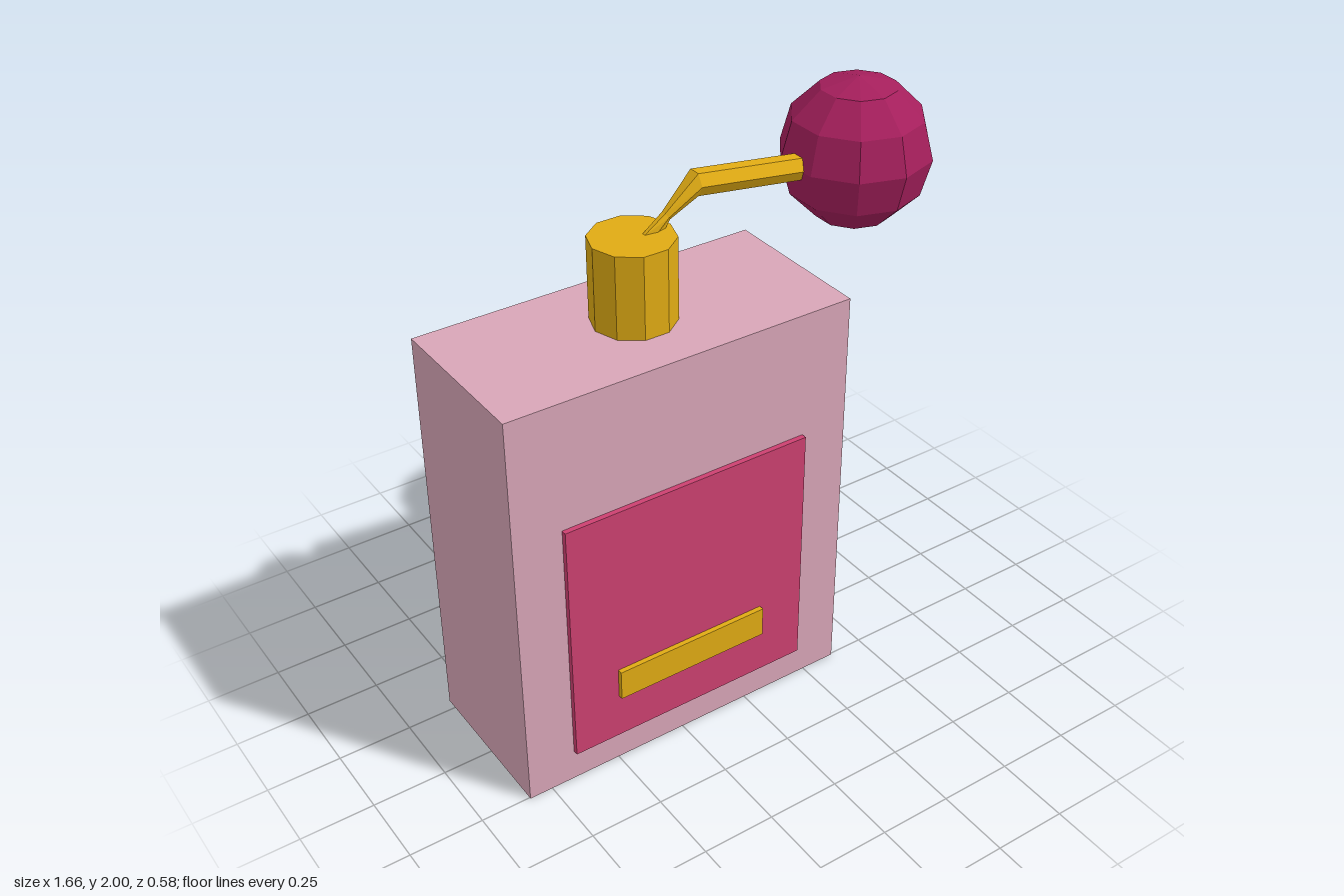
import * as THREE from 'three';

const mat = (color, side = THREE.FrontSide) =>
  new THREE.MeshStandardMaterial({ color, flatShading: true, side });

export function createModel() {
  const model = new THREE.Group();
  const gold = mat(0xe0ab14);
  const add = (name, geometry, material, x, y, z) => {
    const mesh = new THREE.Mesh(geometry, material);
    mesh.name = name;
    mesh.position.set(x, y, z);
    model.add(mesh);
    return mesh;
  };

  // Bottle with a raised label and a gold bar on its front
  add('bottle', new THREE.BoxGeometry(1.204, 1.425, 0.545), mat(0xd8a5b7), -0.228, 0.7125, -0.0175);
  add('label', new THREE.BoxGeometry(0.873, 0.876, 0.04), mat(0xcc4070), -0.228, 0.552, 0.253);
  add('labelBar', new THREE.BoxGeometry(0.547, 0.107, 0.04), gold, -0.2285, 0.332, 0.27);

  // Ten-sided neck
  add('neck', new THREE.CylinderGeometry(0.135, 0.135, 0.3, 10, 1, false, Math.PI / 2), gold,
    -0.23, 1.55, -0.02);

  // Faceted squeeze bulb
  const bulb = add('bulb', new THREE.SphereGeometry(0.245, 10, 6), mat(0xa51f5c), 0.594, 1.755, -0.02);
  bulb.rotation.y = Math.PI / 2;

  // Bent six-sided stem, pinched where it leaves the neck
  // [x, y, z, half height, half depth, lean of the section]
  const rings = [
    [-0.175, 1.68, -0.008, 0.03, 0.012, 0.9],
    [-0.115, 1.735, -0.014, 0.014, 0.017, 0.65],
    [-0.01, 1.81, -0.02, 0.036, 0.041, 0],
    [0.42, 1.75, -0.02, 0.036, 0.041, -0.14],
  ];
  const sides = 6, positions = [], index = [];
  for (const [x, y, z, h, d, lean] of rings) {
    for (let i = 0; i < sides; i++) {
      const a = (i / sides) * Math.PI * 2;
      const up = Math.sin(a) * h / Math.sin(Math.PI / 3);
      positions.push(x - up * Math.sin(lean), y + up * Math.cos(lean), z + Math.cos(a) * d);
    }
  }
  for (let r = 0; r < rings.length - 1; r++) {
    for (let i = 0; i < sides; i++) {
      const a = r * sides + i, b = r * sides + (i + 1) % sides;
      index.push(a, a + sides, b, b, a + sides, b + sides);
    }
  }
  const stem = new THREE.BufferGeometry();
  stem.setAttribute('position', new THREE.Float32BufferAttribute(positions, 3));
  stem.setIndex(index);
  stem.computeVertexNormals();
  add('stem', stem, mat(0xe0ab14, THREE.DoubleSide), 0, 0, 0);

  return model;
}
